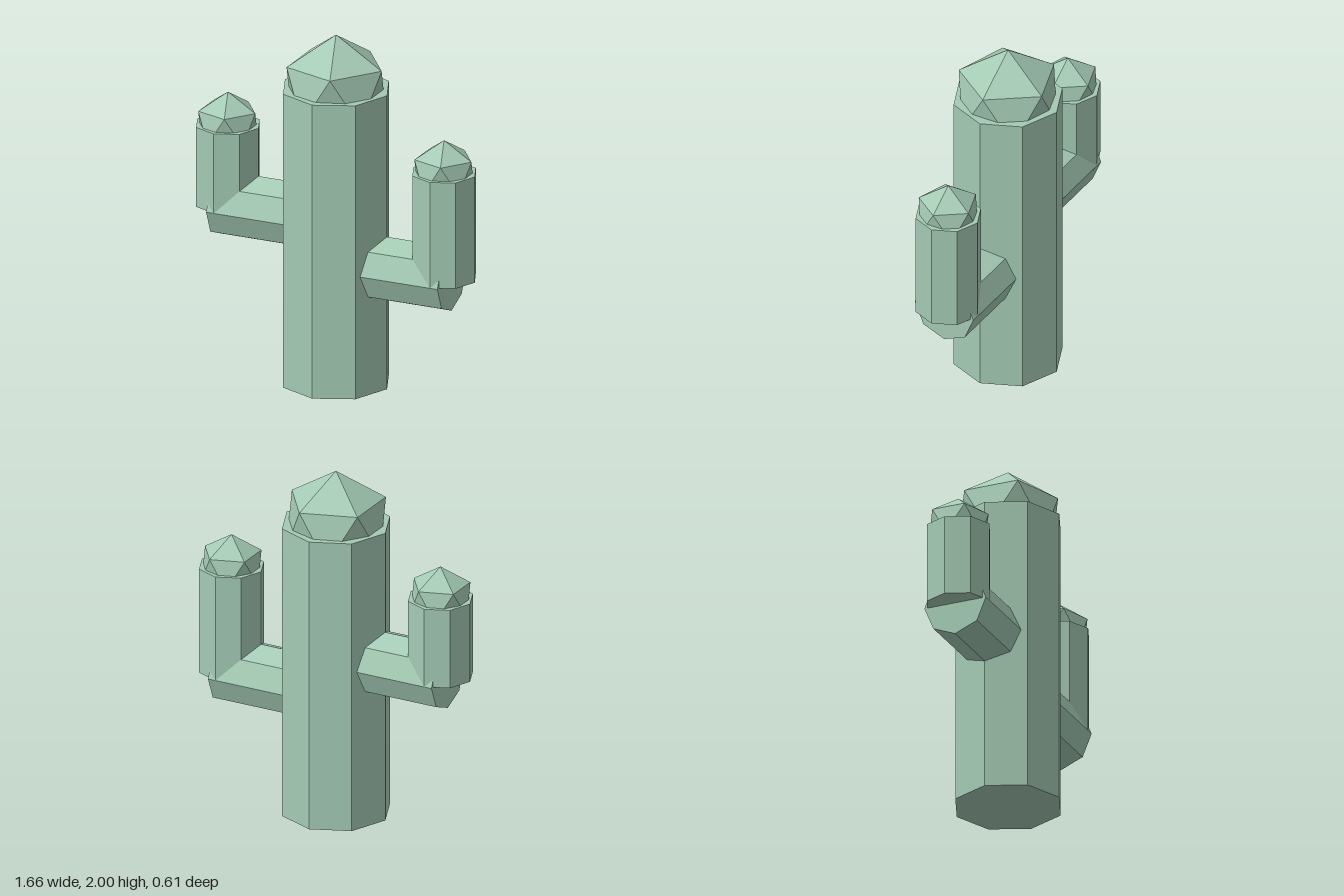
import * as THREE from 'three';

const SIDES = 8;

export function createModel() {
  const green = new THREE.MeshStandardMaterial({ color: 0xa4cab4, flatShading: true });
  green.name = 'cactusGreen';

  const add = (parent, name, geometry, x, y) => {
    const mesh = new THREE.Mesh(geometry, green);
    mesh.name = name;
    mesh.position.set(x, y, 0);
    parent.add(mesh);
  };

  // Icosahedron standing on one corner, with an upper ring corner pointing to +x
  const capGeometry = (radius) => {
    const g = new THREE.IcosahedronGeometry(radius, 0);
    const p = g.attributes.position;
    const up = new THREE.Vector3().fromBufferAttribute(p, 0).normalize();
    const ring = new THREE.Vector3().fromBufferAttribute(p, 1).normalize();
    const xAxis = ring.addScaledVector(up, -ring.dot(up)).normalize();
    const zAxis = new THREE.Vector3().crossVectors(xAxis, up);
    g.applyMatrix4(new THREE.Matrix4().makeBasis(xAxis, up, zAxis).transpose());
    return g;
  };

  // Octagonal column with a faceted cap
  const column = (parent, name, x, bottom, top, radius) => {
    const h = top - bottom;
    add(parent, name, new THREE.CylinderGeometry(radius, radius, h, SIDES), x, bottom + h / 2);
    add(parent, name + 'Cap', capGeometry(radius), x, top);
  };

  const cactus = new THREE.Group();
  cactus.name = 'cactus';
  column(cactus, 'trunk', 0, 0, 1.695, 0.305);

  // Arms: a horizontal octagonal branch out of the trunk, then an upright column
  const arms = [
    { name: 'leftArm', side: 1, elbow: 0.697, top: 1.308 },
    { name: 'rightArm', side: -1, elbow: 0.928, top: 1.387 },
  ];
  const r = 0.183, reach = 0.691;
  for (const { name, side, elbow, top } of arms) {
    const arm = new THREE.Group();
    arm.name = name;
    const branch = new THREE.CylinderGeometry(r, r, reach, SIDES).rotateZ(Math.PI / 2);
    add(arm, name + 'Branch', branch, side * reach / 2, elbow);
    column(arm, name + 'Upright', side * 0.646, elbow, top, r);
    cactus.add(arm);
  }
  return cactus;
}
